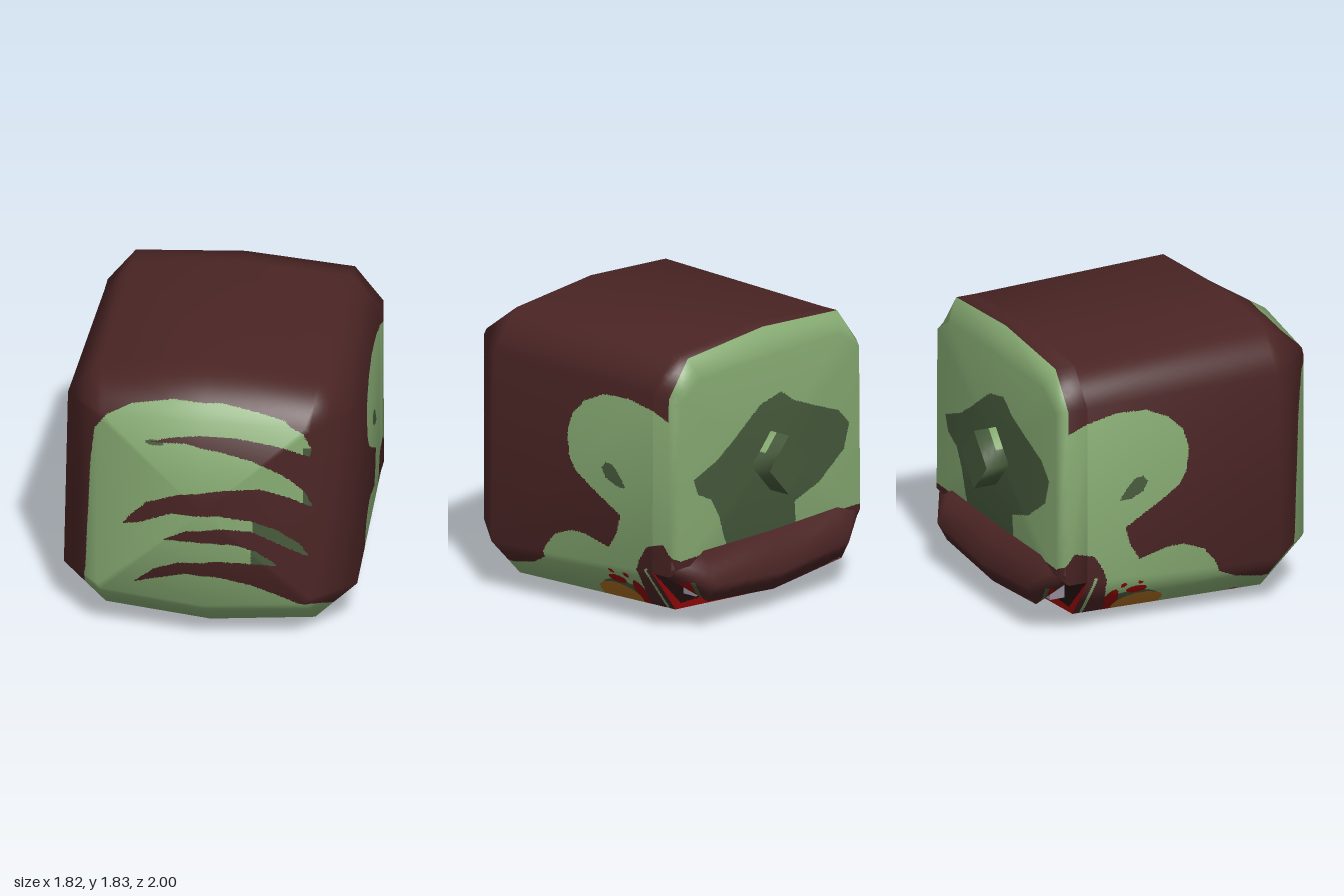
import * as THREE from 'three';

const names = ['maroonHide', 'greenSkin', 'darkGreenSkin', 'orangeSore', 'redBlood', 'greyTeeth', 'darkMouth'];
const hexes = [0x4a2424, 0x86aa72, 0x465a3c, 0xa86c20, 0x8c0606, 0x8f8a98, 0x1e0d0d];
const [MAROON, GREEN, DARK, ORANGE, RED, TEETH, MOUTH] = [0, 1, 2, 3, 4, 5, 6];

// Painted outlines: front face in (x, y)
const frontSkin = [
  [-1, -0.1], [-0.78, 0.2], [-0.75, 0.4], [-0.73, 0.8], [-0.71, 1.2], [-0.68, 1.45], [-0.6, 1.57], [-0.45, 1.63],
  [-0.2, 1.67], [0.1, 1.67], [0.35, 1.63], [0.5, 1.6], [0.62, 1.53], [0.67, 1.42], [0.66, 1.37],
  [0.45, 1.44], [0.2, 1.49], [0, 1.5], [-0.2, 1.46], [-0.33, 1.41], [-0.1, 1.43], [0.1, 1.39], [0.3, 1.33],
  [0.5, 1.23], [0.63, 1.12], [0.68, 1.01], [0.55, 1.07], [0.35, 1.13], [0.1, 1.11], [-0.15, 1.06], [-0.35, 0.98],
  [-0.45, 0.88], [-0.5, 0.81], [-0.4, 0.83], [-0.2, 0.92], [0.1, 0.93], [0.3, 0.9], [0.45, 0.85], [0.6, 0.75], [0.66, 0.66],
  [0.5, 0.73], [0.3, 0.83], [0.1, 0.84], [-0.1, 0.81], [-0.25, 0.73], [0, 0.74], [0.2, 0.73], [0.33, 0.69], [0.47, 0.59],
  [0.3, 0.6], [0.1, 0.61], [-0.15, 0.58], [-0.3, 0.52], [-0.43, 0.41], [-0.3, 0.45], [-0.1, 0.51], [0.1, 0.5], [0.3, 0.45],
  [0.5, 0.37], [0.65, 0.3], [0.77, 0.18], [1, -0.1],
];
// Side faces in (z, y)
const sideSkin = [
  [0.7, -0.1], [0.7, 0.19], [0.6, 0.17], [0.4, 0.22], [0.25, 0.3], [0.2, 0.4], [0.13, 0.48], [0, 0.53], [-0.1, 0.53], [-0.3, 0.48],
  [-0.36, 0.58], [-0.39, 0.7], [-0.32, 0.74], [-0.15, 0.84], [-0.03, 0.92], [0.02, 1], [0.04, 1.15], [0, 1.28],
  [-0.1, 1.38], [-0.25, 1.45], [-0.45, 1.46], [-0.65, 1.42], [-0.78, 1.37], [-0.9, 1.37], [-0.9, -0.1],
];
const earHole = [[-0.24, 0.98], [-0.27, 1.02], [-0.33, 1.01], [-0.4, 0.93], [-0.43, 0.88], [-0.36, 0.88], [-0.27, 0.92]];
const lipBand = [[-0.45, -0.1], [-0.46, 0.15], [-0.5, 0.3], [-0.54, 0.44], [-0.6, 0.54], [-0.74, 0.58], [-0.8, 0.5], [-0.9, 0.47], [-0.9, -0.1]];
// Shadow round the nose in (x, y)
const noseShadow = [
  [0.7, 0.98], [0.49, 1.06], [0.35, 1.15], [0.09, 1.33], [-0.1, 1.37], [-0.21, 1.29], [-0.41, 1.21], [-0.62, 1.13], [-0.72, 1.03],
  [-0.67, 0.87], [-0.44, 0.71], [-0.22, 0.64], [-0.24, 0.4], [0.36, 0.4], [0.42, 0.55], [0.47, 0.7], [0.54, 0.82], [0.66, 0.88],
];
const drops = [[-0.22, -0.06, 0.03], [-0.36, 0.36, 0.03], [-0.49, 0.56, 0.03], [-0.6, 0.45, 0.06]];

function inside(poly, u, v) {
  let hit = false;
  for (let i = 0, j = poly.length - 1; i < poly.length; j = i++) {
    const [a, b] = poly[i], [c, d] = poly[j];
    if (b > v !== d > v && u < ((c - a) * (v - b)) / (d - b) + a) hit = !hit;
  }
  return hit;
}
const ellipse = (u, v, cu, cv, ru, rv) => ((u - cu) / ru) ** 2 + ((v - cv) / rv) ** 2 < 1;

function paintHead({ x, y, z }) {
  if (z > 0.64) {
    if (!inside(frontSkin, x, y)) return MAROON;
    const tips = (x > 0.62 && y > 0.95 && y < 1.43) || (x > 0.31 && y > 0.64 && y < 0.91) ||
      (x > 0.3 && y > 0.56 && y < 0.72) || ellipse(x, y, -0.3, 1.41, 0.06, 0.02);
    return tips ? DARK : GREEN;
  }
  if (z < -0.655 && y < 0.375) return MOUTH;
  if (inside(lipBand, z, y)) return y < 0.4 && Math.abs(z + 0.595) < 0.011 ? GREEN : MAROON;
  if (z < -0.78) return z < -0.82 && inside(noseShadow, x, y) ? DARK : GREEN;
  const side = Math.abs(x);
  if (side > 0.58) {
    if (ellipse(z, y, -0.23, 0.12, 0.17, 0.09)) return ORANGE;
    if (ellipse(z, y, -0.43, 0.17, 0.05, 0.1) || ellipse(z, y, -0.28, 0.25, 0.07, 0.03)) return RED;
    if (ellipse(z, y, -0.27, 0.31, 0.018, 0.018) || ellipse(z, y, -0.38, 0.3, 0.02, 0.02)) return RED;
    if (ellipse(z, y, -0.29, 0.13, 0.2, 0.11)) return DARK;
  }
  if (y < 0.15 && drops.some(([a, b, r]) => ellipse(x, z, a, b, r, r))) return RED;
  if (side > 0.6 && inside(earHole, z, y)) return DARK;
  return inside(sideSkin, z, y) ? GREEN : MAROON;
}

const paintLip = ({ y, z }) => (z > -0.865 && y < 0.33 ? (z < -0.848 ? DARK : RED) : MAROON);
const paintNose = ({ y, z }) => (y > 1.03 && z > -0.9 ? GREEN : DARK);

// Smooth skin through rings, optionally closed by a centre point at each end
function loft(rings, startCap, endCap) {
  const n = rings[0].length, pos = rings.flat(2), index = [];
  for (let i = 0; i + 1 < rings.length; i++) for (let k = 0; k < n; k++) {
    const a = i * n + k, b = i * n + ((k + 1) % n), c = b + n, d = a + n;
    index.push(a, d, c, a, c, b);
  }
  const cap = (point, base, flip) => {
    const m = pos.length / 3;
    pos.push(...point);
    for (let k = 0; k < n; k++) {
      const a = base + k, b = base + ((k + 1) % n);
      index.push(m, flip ? b : a, flip ? a : b);
    }
  };
  if (startCap) cap(startCap, 0, false);
  if (endCap) cap(endCap, (rings.length - 1) * n, true);
  const g = new THREE.BufferGeometry();
  g.setAttribute('position', new THREE.Float32BufferAttribute(pos, 3));
  g.setIndex(index);
  g.computeVertexNormals();
  return g;
}

// Split faces along painted outlines and sort them into one group per colour
function painted(name, g, paint, mats) {
  const buckets = names.map(() => ({ p: [], n: [] }));
  const P = g.attributes.position, N = g.attributes.normal;
  const vert = (i) => ({ p: new THREE.Vector3().fromBufferAttribute(P, i), n: new THREE.Vector3().fromBufferAttribute(N, i) });
  const mid = (a, b) => ({ p: a.p.clone().lerp(b.p, 0.5), n: a.n.clone().lerp(b.n, 0.5) });
  const split = (a, b, c) => {
    const ab = a.p.distanceTo(b.p), bc = b.p.distanceTo(c.p), ca = c.p.distanceTo(a.p);
    if (bc > ab && bc >= ca) return split(b, c, a);
    if (ca > ab && ca > bc) return split(c, a, b);
    const m = mid(a, b);
    const colour = paint(a.p.clone().add(b.p).add(c.p).divideScalar(3));
    const same = ab < 0.07 && [a, b, c, m].every((v) => paint(v.p) === colour);
    if (same || ab < 0.014) {
      for (const v of [a, b, c]) {
        buckets[colour].p.push(...v.p.toArray());
        buckets[colour].n.push(...v.n.clone().normalize().toArray());
      }
      return;
    }
    split(a, m, c);
    split(m, b, c);
  };
  for (let i = 0; i < g.index.count; i += 3) split(...[0, 1, 2].map((k) => vert(g.index.getX(i + k))));
  const out = new THREE.BufferGeometry(), p = [], nrm = [];
  buckets.forEach((b, i) => {
    if (b.p.length) out.addGroup(p.length / 3, b.p.length / 3, i);
    for (const v of b.p) p.push(v);
    for (const v of b.n) nrm.push(v);
  });
  out.setAttribute('position', new THREE.Float32BufferAttribute(p, 3));
  out.setAttribute('normal', new THREE.Float32BufferAttribute(nrm, 3));
  const mesh = new THREE.Mesh(out, mats);
  mesh.name = name;
  return mesh;
}

// Ring from a right-hand half outline, bottom to top
const ring = (half, z) => {
  const pts = half.map(([x, y, zz]) => [x, y, zz ?? z]);
  return [...pts, ...pts.slice(1, -1).reverse().map(([x, y, zz]) => [-x, y, zz])];
};

export function createModel() {
  const group = new THREE.Group();
  const mats = names.map((name, i) => new THREE.MeshStandardMaterial({ name, color: hexes[i] }));
  const add = (mesh) => group.add(mesh);

  // Main head, from the front down to the mouth opening
  const front = ring([[0, 0.3, 1], [0.63, 0.33, 0.935], [0.66, 0.36, 0.93], [0.66, 1.54, 0.93], [0.63, 1.57, 0.935], [0, 1.6, 1]]);
  const wide = ring([[0, 0], [0.65, 0.07], [0.91, 0.33], [0.885, 1.53], [0.68, 1.78], [0, 1.83]], 0.64);
  const upper = [[0.86, 0.38], [0.855, 1.52], [0.68, 1.745], [0, 1.795]];
  const jaw = ring([[0, 0.05], [0.65, 0.1], ...upper], -0.65);
  add(painted('head', loft([front, wide, jaw], [0, 0.95, 1]), paintHead, mats));

  // Upper jaw and back face
  const roof = [[0, 0.36], [0.6, 0.36]];
  const back = ring([[0, 0.42], [0.6, 0.42], [0.82, 0.45], [0.81, 1.5], [0.64, 1.61], [0, 1.62]], -0.845);
  const rings = [ring([...roof, ...upper], -0.65), ring([...roof, ...upper], -0.78), back];
  add(painted('upperHead', loft(rings, null, [0, 1, -0.85]), paintHead, mats));

  // Back wall of the mouth, with a bloody gum along its lower edge
  const wall = loft([jaw, ring([...roof, ...upper], -0.65)]);
  add(painted('mouthWall', wall, ({ x, y }) => (y < 0.13 + Math.max(0, Math.abs(x) - 0.6) ? RED : MOUTH), mats));

  // Overhanging upper lip
  const section = (x, pts) => pts.map(([z, y]) => [x, y, z]);
  const end = [[-0.7, 0.39], [-0.78, 0.4], [-0.81, 0.44], [-0.79, 0.53]];
  const corner = [[-0.75, 0.37], [-0.88, 0.19], [-0.945, 0.31], [-0.845, 0.51]];
  const middle = [[-0.75, 0.36], [-0.87, 0.13], [-0.95, 0.26], [-0.845, 0.5]];
  const lip = loft([section(0.85, end), section(0.61, corner), section(0, middle), section(-0.61, corner), section(-0.85, end)],
    [0.85, 0.44, -0.77], [-0.85, 0.44, -0.77]);
  add(painted('upperLip', lip, paintLip, mats));

  // Diamond-shaped nose
  const diamond = (z) => [[0, 0.76, z], [0.175, 0.95, z], [0, 1.14, z], [-0.175, 0.95, z]];
  add(painted('nose', loft([diamond(-0.82), diamond(-1)]), paintNose, mats));
  const tip = new THREE.Mesh(new THREE.CircleGeometry(1, 4), mats[DARK]);
  tip.scale.set(0.175, 0.19, 1);
  tip.rotation.y = Math.PI;
  tip.position.set(0, 0.95, -1);
  tip.name = 'noseTip';
  add(tip);

  // Row of upper teeth
  for (let i = 0; i < 6; i++) {
    const tooth = new THREE.Mesh(new THREE.BoxGeometry(0.19, 0.17, 0.1), mats[TEETH]);
    tooth.position.set((i - 2.5) * 0.21, 0.29, -0.74);
    tooth.name = 'tooth';
    add(tooth);
  }
  return group;
}
